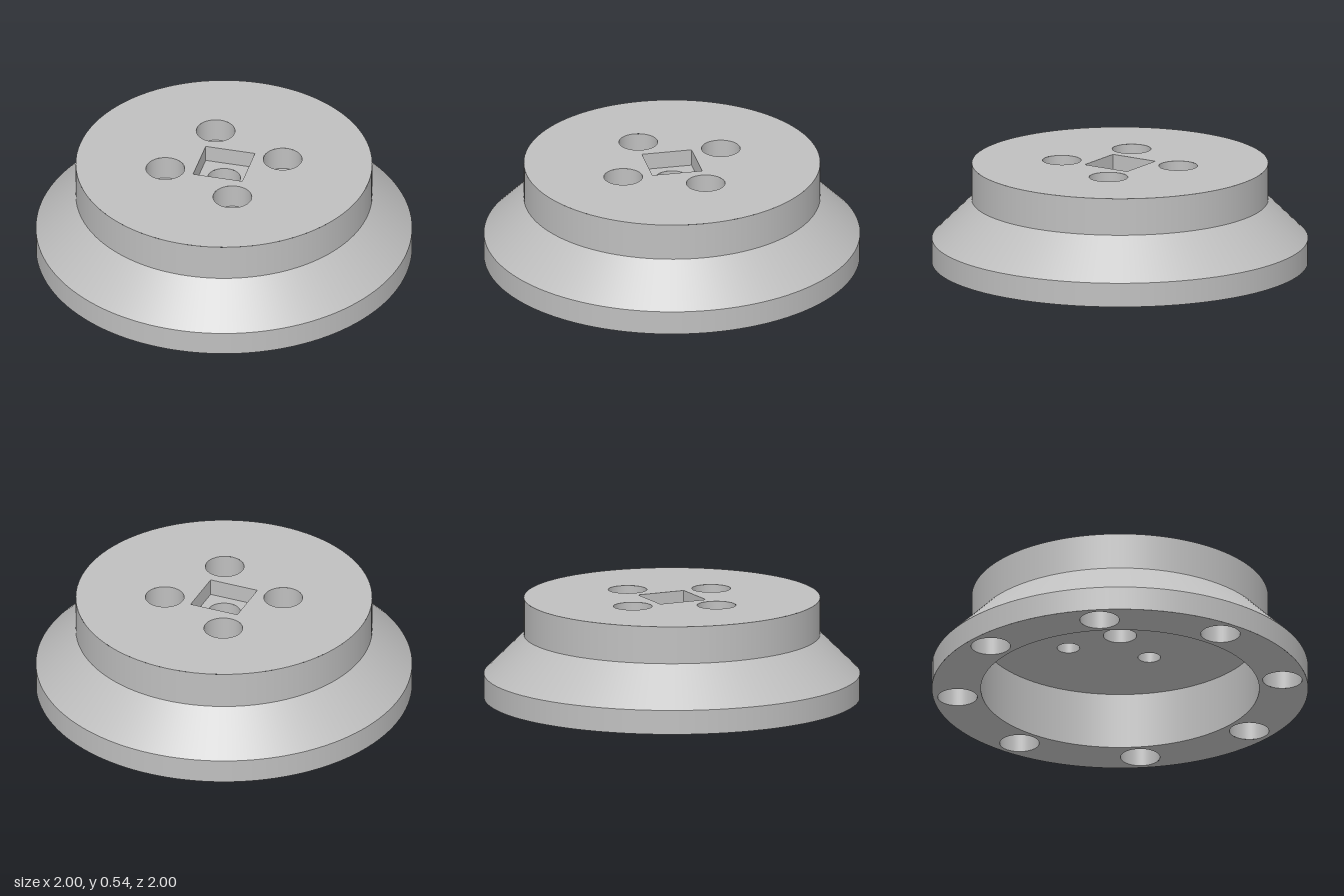
import * as THREE from 'three';
import { mergeGeometries } from 'three/addons/utils/BufferGeometryUtils.js';

const SEG = 96;
const R_TOP = 0.788, R_BORE = 0.74, Y_TOP = 0.54, Y_ROOF = 0.31;
const BOLT_R = 0.105, HEAD_R = 0.103, SCREW_R = 0.06, CENTRE_R = 0.088;
const SQ = 0.135, Y_SQ = 0.45;

// Points [x, z] spread evenly on a circle
const ringOf = (count, radius, start) => Array.from({ length: count }, (_, i) => {
  const a = start + (i / count) * Math.PI * 2;
  return [radius * Math.cos(a), radius * Math.sin(a)];
});
const screws = ringOf(4, 0.315, Math.PI * 3 / 8);
const bolts = ringOf(8, 0.87, 0);

// Turned surface with a sharp edge at every profile point
function revolve(profile, seg = SEG) {
  const parts = [];
  for (let i = 0; i + 1 < profile.length; i++) {
    const pts = [profile[i], profile[i + 1]].map(([r, y]) => new THREE.Vector2(r, y));
    parts.push(new THREE.LatheGeometry(pts, seg));
  }
  return mergeGeometries(parts);
}

const circle = (r, x = 0, y = 0) => new THREE.Path().absarc(x, y, r, 0, Math.PI * 2, false);
const square = (h) => new THREE.Path([[-h, -h], [h, -h], [h, h], [-h, h]].map(([x, y]) => new THREE.Vector2(x, y)));

// Flat horizontal face with holes, looking up or down
function face(outline, holes, y, up) {
  const shape = new THREE.Shape(outline.getPoints(SEG / 2));
  shape.holes.push(...holes);
  return new THREE.ShapeGeometry(shape, SEG / 2).rotateX(up ? -Math.PI / 2 : Math.PI / 2).translate(0, y, 0);
}

export function createModel() {
  const group = new THREE.Group();
  const metal = new THREE.MeshStandardMaterial({ color: 0xbfbfbf });
  metal.name = 'grey metal';
  const add = (name, geometry, x = 0, z = 0) => {
    const mesh = new THREE.Mesh(geometry, metal);
    mesh.name = name;
    mesh.position.set(x, 0, z);
    group.add(mesh);
  };

  // Flange rim, sloped shoulder and upper drum
  add('outerBody', revolve([[1, 0], [1, 0.13], [R_TOP, 0.34], [R_TOP, Y_TOP]], 128));

  // Top plate, pierced by four screw holes and a square socket
  add('topFace', face(circle(R_TOP),
    [...screws.map(([x, z]) => circle(HEAD_R, x, -z)), square(SQ)], Y_TOP, true));

  // Flange underside with bolt holes
  add('flangeUnderside', face(circle(1),
    [circle(R_BORE), ...bolts.map(([x, z]) => circle(BOLT_R, x, z))], 0, false));

  // Wide recess underneath
  add('recessWall', revolve([[R_BORE, Y_ROOF], [R_BORE, 0]]));
  add('recessRoof', face(circle(R_BORE),
    [circle(CENTRE_R), ...screws.map(([x, z]) => circle(SCREW_R, x, z))], Y_ROOF, false));

  // Counterbored screw holes through the top plate
  const screwHole = revolve([[HEAD_R, Y_TOP], [HEAD_R, 0.41], [SCREW_R, 0.41], [SCREW_R, Y_ROOF]], 48);
  screws.forEach(([x, z]) => add('screwHole', screwHole, x, z));

  // Blind bolt holes in the flange
  const boltHole = revolve([[0, 0.1], [BOLT_R, 0.1], [BOLT_R, 0]], 48);
  bolts.forEach(([x, z]) => add('boltHole', boltHole, x, z));

  // Square socket with a round hole through its floor
  const sides = [0, 1, 2, 3].map((i) => new THREE.PlaneGeometry(SQ * 2, Y_TOP - Y_SQ)
    .translate(0, (Y_TOP + Y_SQ) / 2, -SQ).rotateY(i * Math.PI / 2));
  add('socketWalls', mergeGeometries(sides));
  const socketOutline = square(SQ);
  socketOutline.closePath();
  add('socketFloor', face(socketOutline, [circle(CENTRE_R)], Y_SQ, true));
  add('centreHole', revolve([[CENTRE_R, Y_SQ], [CENTRE_R, Y_ROOF]], 48));

  return group;
}
